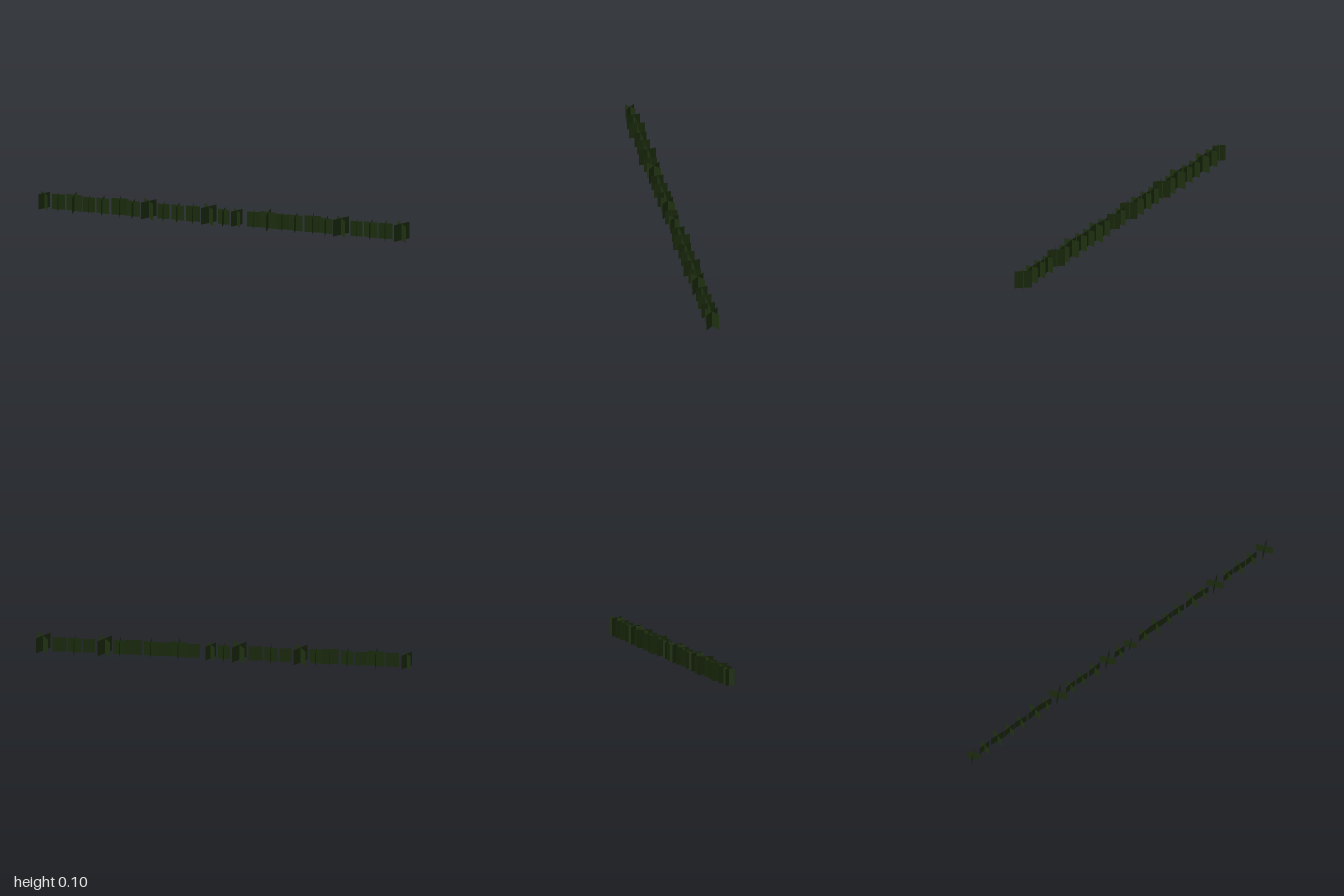
import * as THREE from 'three';
import { mergeGeometries } from 'three/addons/utils/BufferGeometryUtils.js';

// A row of low plants, each made of two upright panels crossing at right angles
// [centre x, panel width, turn in degrees]
const PLANTS = [
  [-0.973, 0.07, 40], [-0.897, 0.07, 4], [-0.81, 0.087, -4], [-0.73, 0.065, 4], [-0.657, 0.07, -4],
  [-0.563, 0.093, 4], [-0.49, 0.07, -4], [-0.407, 0.094, 40], [-0.327, 0.065, 4], [-0.25, 0.07, -4],
  [-0.167, 0.075, 4], [-0.081, 0.094, 40], [0, 0.065, -4], [0.071, 0.07, 40], [0.162, 0.07, 4],
  [0.242, 0.09, -4], [0.317, 0.07, 4], [0.39, 0.075, -4], [0.483, 0.09, 4], [0.555, 0.068, -4],
  [0.635, 0.094, 40], [0.72, 0.065, 4], [0.796, 0.073, -4], [0.876, 0.075, 4], [0.964, 0.094, 40],
];

function crossedPanels(width, height) {
  const panels = [0, Math.PI / 2].map((turn) =>
    new THREE.PlaneGeometry(width, height).translate(0, height / 2, 0).rotateY(turn));
  return mergeGeometries(panels);
}

export function createModel() {
  const model = new THREE.Group();
  model.name = 'plantRow';
  const leaf = new THREE.MeshStandardMaterial({ color: 0x1f3010, side: THREE.DoubleSide });

  // Wider plants are also a little taller
  PLANTS.forEach(([x, width, turn], i) => {
    const plant = new THREE.Mesh(crossedPanels(width, 0.065 + 0.35 * width), leaf);
    plant.name = `plant${i + 1}`;
    plant.position.x = x;
    plant.rotation.y = THREE.MathUtils.degToRad(turn);
    model.add(plant);
  });
  return model;
}
